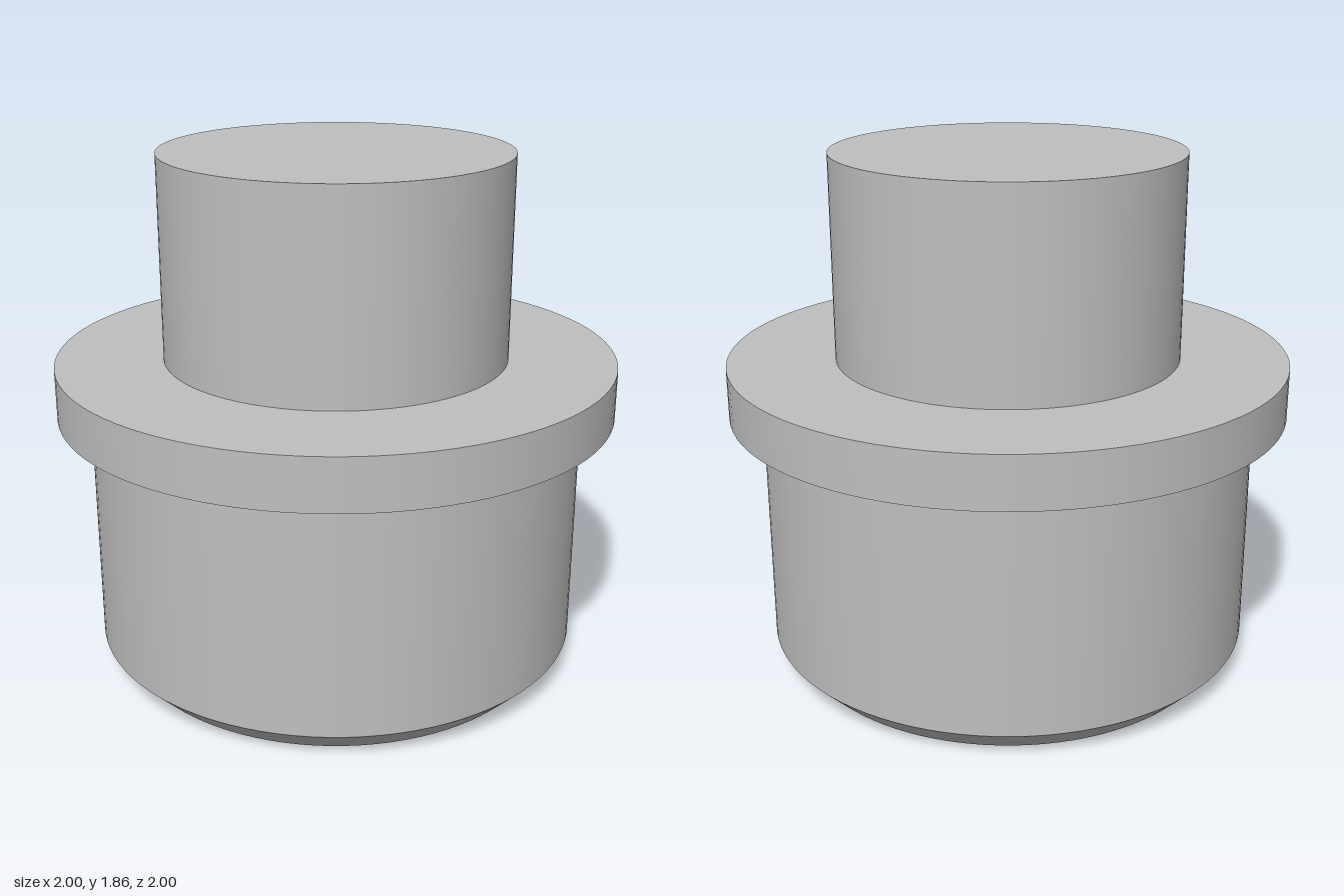
import * as THREE from 'three';
import { mergeGeometries } from 'three/addons/utils/BufferGeometryUtils.js';

const SEGMENTS = 96;

// Turned part: each straight profile run is its own band, so edges stay sharp
// and round walls stay smooth. The profile runs from bottom to top as [radius, y].
function turned(name, profile, material) {
  const bands = [];
  for (let i = 0; i < profile.length - 1; i++) {
    const run = [profile[i], profile[i + 1]].map(([r, y]) => new THREE.Vector2(r, y));
    bands.push(new THREE.LatheGeometry(run, SEGMENTS));
  }
  const mesh = new THREE.Mesh(mergeGeometries(bands), material);
  mesh.name = name;
  return mesh;
}

export function createModel() {
  const group = new THREE.Group();
  group.name = 'flangedPlug';

  const metal = new THREE.MeshStandardMaterial({ color: 0xbfbfbf });
  metal.name = 'grey metal';

  const bodyR = 0.883, flangeR = 1, stemR = 0.618;
  const chamferY = 0.097, flangeBottom = 0.95, flangeTop = 1.134, stemTop = 1.862;

  group.add(
    // Wide lower body with a chamfered foot
    turned('body', [[0, 0], [0.788, 0], [bodyR, chamferY], [bodyR, flangeBottom]], metal),
    // Collar
    turned('flange', [[bodyR, flangeBottom], [flangeR, flangeBottom], [flangeR, flangeTop], [stemR, flangeTop]], metal),
    // Narrow upper stem with a flat top
    turned('stem', [[stemR, flangeTop], [stemR, stemTop], [0, stemTop]], metal),
  );
  return group;
}
